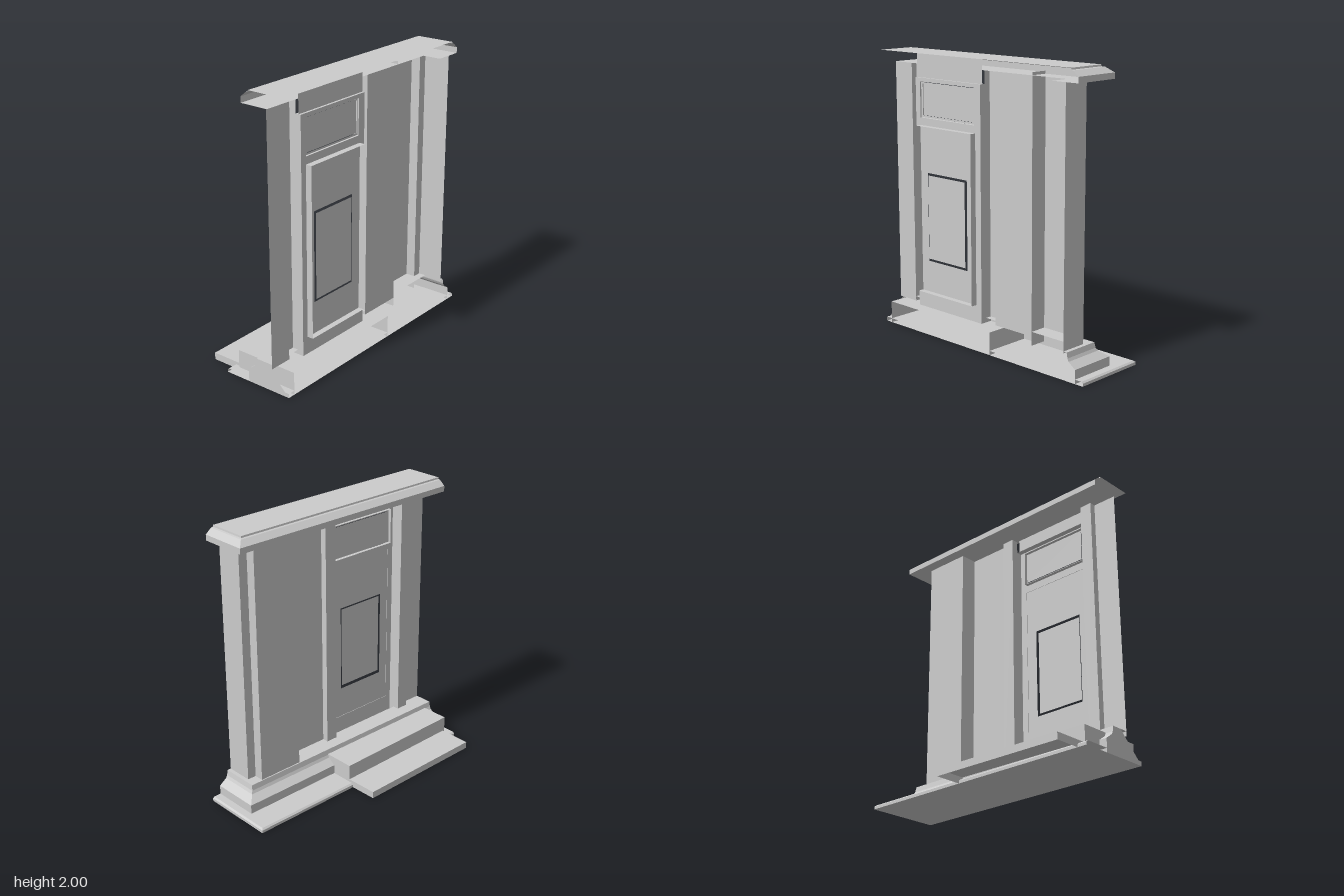
import * as THREE from 'three';

const material = new THREE.MeshStandardMaterial({ color: 0xcccccc, flatShading: true, side: THREE.DoubleSide });

export function createModel() {
  const model = new THREE.Group();
  const add = (name, geometry) => {
    const mesh = new THREE.Mesh(geometry, material);
    mesh.name = name;
    model.add(mesh);
    return mesh;
  };

  // Skin rows of equally long point lists into a surface
  const loft = (rows) => {
    const index = [], n = rows[0].length;
    for (let i = 0; i < rows.length - 1; i++) {
      for (let j = 0; j < n - 1; j++) {
        const a = i * n + j, b = a + n;
        index.push(a, a + 1, b, b, a + 1, b + 1);
      }
    }
    const g = new THREE.BufferGeometry();
    g.setAttribute('position', new THREE.Float32BufferAttribute(rows.flat(2), 3));
    g.setIndex(index);
    g.computeVertexNormals();
    return g;
  };

  // Upright wall following a plan of [x, z] points
  const wall = (name, plan, y0, y1) =>
    add(name, loft([y1, y0].map((y) => plan.map(([x, z]) => [x, y, z]))));

  // Moulding round the corner at (x, z): profile of [inset, y]
  const moulding = (name, x, z, profile) => add(name, loft(profile.map(([d, y]) => [
    [0.37, y, z + d], [x + d, y, z + d], [x + d, y, 0.95],
  ])));

  // Level rectangle
  const level = (name, x0, x1, z0, z1, y, turn = -1) => add(name,
    new THREE.PlaneGeometry(x1 - x0, z1 - z0).rotateX(turn * Math.PI / 2).translate((x0 + x1) / 2, y, (z0 + z1) / 2));

  // Flat panel in the z-y plane facing -x, with rectangular holes [z0, z1, y0, y1]
  const corners = ([z0, z1, y0, y1]) => [[z0, y0], [z1, y0], [z1, y1], [z0, y1]].map((p) => new THREE.Vector2(...p));
  const panel = (name, x, rect, holes = []) => {
    const shape = new THREE.Shape(corners(rect));
    holes.forEach((h) => shape.holes.push(new THREE.Path(corners(h))));
    add(name, new THREE.ShapeGeometry(shape).rotateY(-Math.PI / 2)).position.x = x;
  };

  // Rim running round a rectangle from x0 to x1
  const rim = (name, x0, x1, rect) => {
    const c = corners(rect);
    add(name, loft([x0, x1].map((x) => [...c, c[0]].map((p) => [x, p.y, p.x]))));
  };

  // Step: plan of four [x, z] corners, sides and top, open at the back
  const step = (name, plan, height) => {
    wall(name + 'Sides', plan, 0, height);
    const [a, b, c, d] = plan.map(([x, z]) => [x, height, z]);
    add(name + 'Tread', loft([[a, b], [d, c]]));
  };

  // Ground slab with a slightly bevelled upper edge
  moulding('groundSlabEdge', -0.17, -0.95, [[0, 0], [0, 0.02], [0.012, 0.03]]);
  level('groundSlabTop', -0.158, 0.37, -0.938, 0.95, 0.03);
  level('groundSlabUnderside', -0.17, 0.37, -0.95, 0.95, 0, 1);

  // Steps
  step('lowerStep', [[-0.13, -0.12], [-0.37, -0.115], [-0.355, 0.88], [-0.115, 0.88]], 0.05);
  step('upperStep', [[0.37, -0.12], [-0.135, -0.12], [-0.115, 0.895], [0.37, 0.895]], 0.16);

  // Plinth with a stepped slope, and its end cap
  const plinth = [[0, 0], [0, 0.095], [0.055, 0.135], [0.065, 0.155], [0.072, 0.193], [0.1, 0.193]];
  moulding('plinth', 0.025, -0.885, plinth);
  level('plinthLedge', 0.125, 0.23, -0.785, 0.95, 0.193);
  const cap = new THREE.Shape([
    ...plinth.map(([d, y]) => [0.025 + d, y]), [0.17, 0.193], [0.34, 0.03], [0.37, 0.03], [0.37, 0],
  ].map((p) => new THREE.Vector2(...p)));
  add('plinthEndCap', new THREE.ShapeGeometry(cap).translate(0, 0, 0.95));

  // Cornice: soffit, fascia, sloped moulding and flat top
  moulding('cornice', 0.025, -0.885, [[0.21, 1.91], [0, 1.91], [0, 1.95], [0.043, 1.985], [0.058, 1.988], [0.06, 2]]);
  level('corniceTop', 0.085, 0.37, -0.825, 0.95, 2);

  // Side wall, corner pier, wall fields and the pilasters beside the door
  wall('sideWall', [[0.37, -0.785], [0.175, -0.785], [0.175, -0.72]], 0.18, 1.91);
  wall('cornerPier', [[0.175, -0.72], [0.105, -0.72], [0.105, -0.38], [0.23, -0.38]], 0.095, 1.93);
  wall('wallField', [[0.23, -0.38], [0.23, -0.04]], 0.16, 1.91);
  wall('endWallField', [[0.23, 0.78], [0.23, 0.95]], 0.16, 1.91);
  wall('innerPilaster', [[0.23, -0.04], [0.185, -0.04], [0.185, 0.05], [0.235, 0.05]], 0.16, 1.91);
  wall('outerPilaster', [[0.235, 0.69], [0.185, 0.69], [0.185, 0.78], [0.23, 0.78]], 0.16, 1.91);

  // Door surround: jambs, lintel and the header above it
  const door = [0.1, 0.645, 0.285, 1.487];
  const transom = [0.11, 0.645, 1.54, 1.793];
  const pane = [0.182, 0.574, 0.513, 1.153];
  wall('innerJamb', [[0.235, 0.05], [0.275, 0.05]], 0.16, 1.82);
  wall('outerJamb', [[0.275, 0.69], [0.235, 0.69]], 0.16, 1.82);
  level('lintel', 0.235, 0.275, 0.05, 0.69, 1.82);
  panel('header', 0.258, [0.05, 0.69, 1.82, 2]);
  panel('doorSurround', 0.275, [0.05, 0.69, 0.16, 1.82], [door, transom]);

  // Transom light set in its opening
  rim('transomRim', 0.25, 0.275, transom);
  panel('transomFrame', 0.268, [0.114, 0.641, 1.544, 1.789], [[0.122, 0.625, 1.557, 1.778]]);
  panel('transomPane', 0.262, [0.122, 0.625, 1.557, 1.778]);

  // Door leaf, its rim at the back, and a pane inside a narrow gap
  panel('doorLeaf', 0.278, door, [pane]);
  rim('doorRim', 0.275, 0.32, door);
  panel('doorPane', 0.285, [0.197, 0.564, 0.532, 1.138]);

  return model;
}
